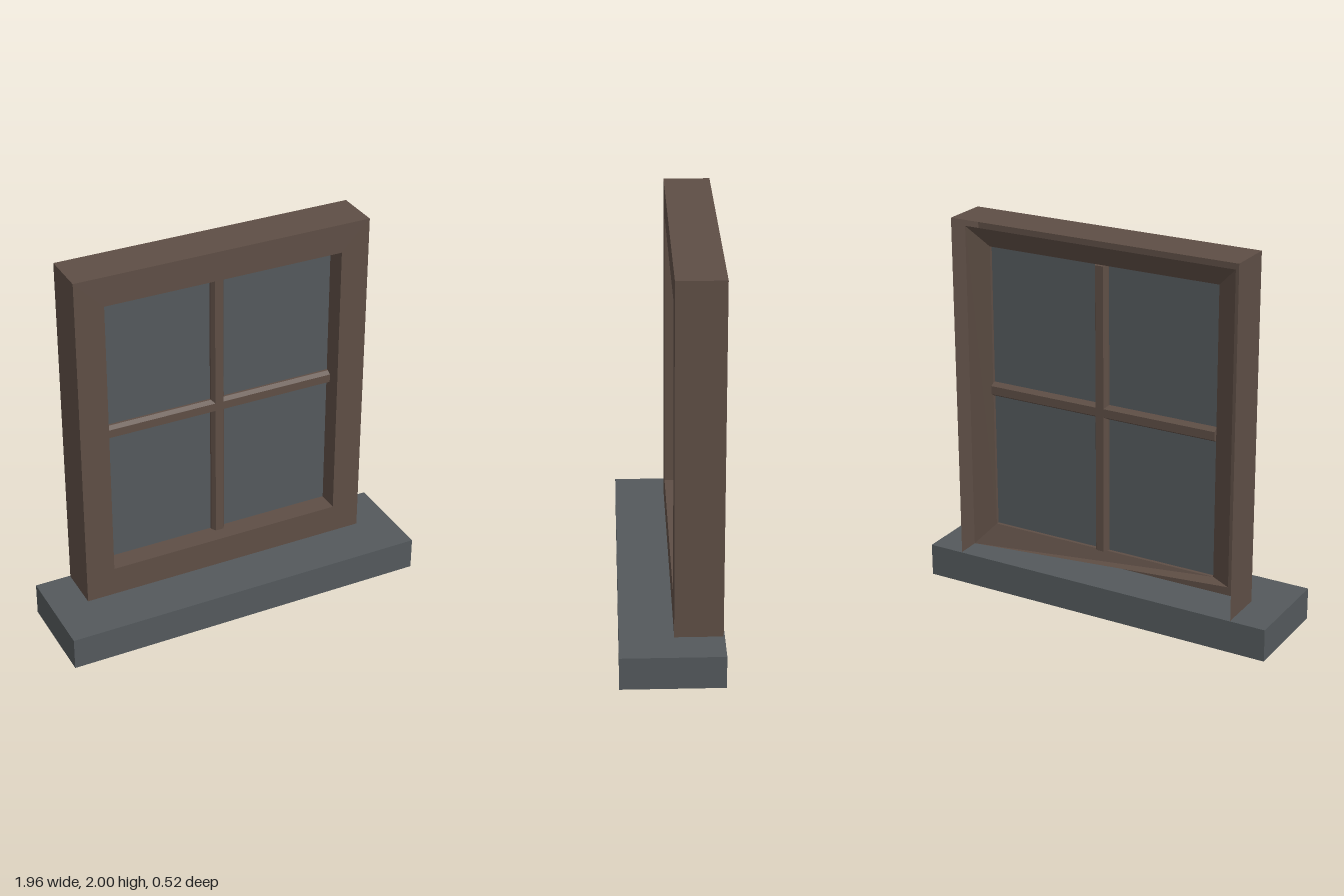
import * as THREE from 'three';

// Rectangle loop, counter-clockwise from the front
const rect = (hw, bottom, top, z) => [
  [-hw, bottom, z], [hw, bottom, z], [hw, top, z], [-hw, top, z],
];

// Flat-faced band joining two rectangle loops; sides: 0 bottom, 1 left, 2 top, 3 right
function band(a, b, sides = [0, 1, 2, 3]) {
  const pos = [];
  for (const i of sides) {
    const j = (i + 1) % 4;
    pos.push(...a[i], ...a[j], ...b[j], ...a[i], ...b[j], ...b[i]);
  }
  const g = new THREE.BufferGeometry();
  g.setAttribute('position', new THREE.Float32BufferAttribute(pos, 3));
  g.computeVertexNormals();
  return g;
}

// Glazing bar along y with chamfered front and back
function barGeometry(length) {
  const profile = [
    [-0.022, 0.035], [0.022, 0.035], [0.036, 0.012], [0.036, -0.012],
    [0.022, -0.035], [-0.022, -0.035], [-0.036, -0.012], [-0.036, 0.012],
  ];
  const shape = new THREE.Shape(profile.map(([x, z]) => new THREE.Vector2(x, -z)));
  const g = new THREE.ExtrudeGeometry(shape, { depth: length, bevelEnabled: false });
  return g.translate(0, 0, -length / 2).rotateX(-Math.PI / 2);
}

export function createModel() {
  const wood = new THREE.MeshStandardMaterial({ color: 0x5e4e45, side: THREE.DoubleSide });
  wood.name = 'brown wood';
  const slate = new THREE.MeshStandardMaterial({ color: 0x54595c, side: THREE.DoubleSide });
  slate.name = 'slate grey';

  const model = new THREE.Group();
  model.name = 'window';
  const add = (name, geometry, material, x = 0, y = 0, z = 0) => {
    const mesh = new THREE.Mesh(geometry, material);
    mesh.name = name;
    mesh.position.set(x, y, z);
    model.add(mesh);
    return mesh;
  };

  // Sill
  add('sill', new THREE.BoxGeometry(1.96, 0.172, 0.516), slate, 0, 0.086, 0);

  // Hollow frame, open at the back and over the sill
  const W = 0.79, B = 0.172, T = 2;
  const w = 0.638, b = 0.328, t = 1.846;
  const outerBack = rect(W, B, T, -0.252);
  const outerFront = rect(W, B, T, -0.012);
  const innerFront = rect(w, b, t, -0.012);
  const innerBack = rect(w, b, t, -0.142);
  add('frameWalls', band(outerBack, outerFront, [1, 2, 3]), wood);
  add('frameFront', band(outerFront, innerFront), wood);
  add('frameReveal', band(innerFront, innerBack), wood);

  // Flared back casing, with its lower right corner raised
  const flare = rect(0.746, 0.21, 1.95, -0.195);
  flare[0][1] = 0.32;
  add('backCasing', band(innerBack, flare), wood);

  // Glass
  const midY = (b + t) / 2, paneZ = -0.125;
  add('glass', new THREE.PlaneGeometry(2 * w, t - b), slate, 0, midY, paneZ);

  // Crossed glazing bars
  add('verticalBar', barGeometry(t - b), wood, 0, midY, paneZ);
  add('horizontalBar', barGeometry(2 * w), wood, 0, midY, paneZ).rotation.z = Math.PI / 2;

  return model;
}
